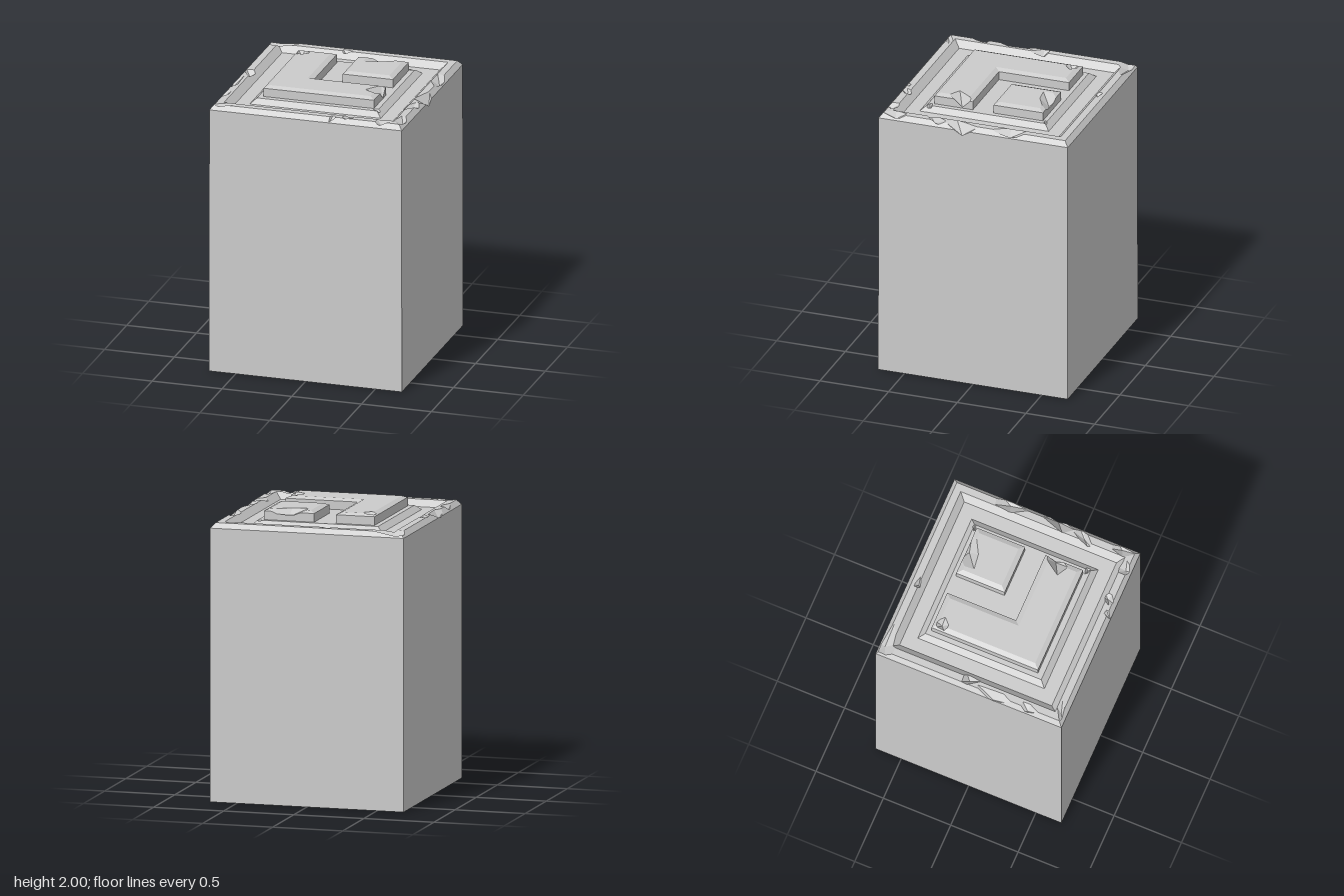
import * as THREE from 'three';

const V = (x, y, z) => new THREE.Vector3(x, y, z);
const WALL = 0.0005; // tiny draft on upright walls, so every face looks slightly upwards

// Chips: pit x, z, depth height, half length, half width, heading in plan
const BACK_CHIPS = [[-0.62, -0.65, 1.9, 0.17, 0.09, 0], [-0.12, -0.61, 1.905, 0.05, 0.03, 0]];
const LEFT_CHIPS = [
  [0.66, -0.26, 1.89, 0.13, 0.07, 1.6], [0.69, 0.08, 1.865, 0.12, 0.1, 1.6],
  [0.63, 0.3, 1.9, 0.15, 0.05, -0.9], [0.66, 0.57, 1.9, 0.11, 0.05, 1.6],
];
const FRONT_CHIPS = [
  [0.53, 0.65, 1.905, 0.08, 0.06, 0], [0.29, 0.62, 1.905, 0.07, 0.035, -0.8],
  [0.17, 0.68, 1.9, 0.06, 0.025, -0.9], [-0.6, 0.65, 1.915, 0.1, 0.035, -0.4],
];
const RIGHT_CHIPS = [
  [-0.67, 0.43, 1.9, 0.08, 0.05, 1.6], [-0.62, -0.02, 1.89, 0.08, 0.05, 1.6],
  [-0.68, 0.18, 1.885, 0.14, 0.06, 1.6],
];
const PLATEAU_CHIPS = [[0.43, 0.41, 1.895, 0.045, 0.04, 0], [0.41, -0.425, 1.9, 0.04, 0.02, -0.5]];
const RELIEF_CHIPS = [
  [-0.35, -0.34, 1.965, 0.05, 0.045, 0], [0.22, -0.38, 1.95, 0.19, 0.07, -0.1],
  [0.39, 0.19, 1.93, 0.11, 0.06, -0.9],
];

// Inset a right-angled outline of [x, z] points and lift it to height y
function insetLoop(loop, d, y) {
  const n = loop.length;
  const inward = (a, b) => {
    const l = Math.hypot(b[0] - a[0], b[1] - a[1]);
    return [-(b[1] - a[1]) / l, (b[0] - a[0]) / l];
  };
  return loop.map((p, i) => {
    const u = inward(loop[(i + n - 1) % n], p), v = inward(p, loop[(i + 1) % n]);
    return V(p[0] + d * (u[0] + v[0]), y, p[1] + d * (u[1] + v[1]));
  });
}

// Mitred faces following a profile of [inset, height]; caps lists the corners of the top faces
function mouldedFaces(loop, profile, caps) {
  const rings = profile.map(([d, y]) => insetLoop(loop, d, y));
  const faces = [];
  for (let r = 0; r + 1 < rings.length; r++) {
    loop.forEach((_, i) => {
      const j = (i + 1) % loop.length;
      faces.push([rings[r][i], rings[r][j], rings[r + 1][j], rings[r + 1][i]]);
    });
  }
  caps.forEach((c) => faces.push(c.map((i) => rings[rings.length - 1][i])));
  return faces;
}

const area = (poly) => poly.reduce((s, p, i) => {
  const q = poly[(i + 1) % poly.length];
  return s + (p.x * q.z - q.x * p.z) / 2;
}, 0);

// Part of a convex polygon where the linear function f is positive
function clip(poly, f) {
  const out = [];
  poly.forEach((p, i) => {
    const q = poly[(i + 1) % poly.length], a = f(p), b = f(q);
    if (a >= 0) out.push(p);
    if ((a > 0 && b < 0) || (a < 0 && b > 0)) out.push(p.clone().lerp(q, a / (a - b)));
  });
  return out.length > 2 && Math.abs(area(out)) > 1e-10 ? out : null;
}

// Height functions of the facets of an uneven five-sided pit that opens out at rim height
function pitFacets([x, z, depth, long, wide, heading], rim, seed) {
  const sides = 5;
  const outline = Array.from({ length: sides }, (_, i) => {
    const t = ((i + 0.3 * Math.sin(seed * 5 + i * 3)) / sides) * Math.PI * 2;
    const k = 1.12 + 0.15 * Math.sin(seed * 7 + i * 4);
    const u = k * long * Math.cos(t), v = k * wide * Math.sin(t);
    const c = Math.cos(heading), s = Math.sin(heading);
    return V(x + u * c - v * s, rim, z + u * s + v * c);
  });
  return outline.map((a, i) => {
    const { normal, constant } = new THREE.Plane()
      .setFromCoplanarPoints(a, outline[(i + 1) % sides], V(x, depth, z));
    return (p) => -(normal.x * p.x + normal.z * p.z + constant) / normal.y;
  });
}

// Cut every chip into the faces, leaving exact flat facets
function chipped(faces, chips, rim) {
  return chips.reduce((solid, chip, seed) => {
    const facets = pitFacets(chip, rim, seed);
    const result = [];
    for (const face of solid) {
      let rest = face;
      for (const c of facets) {
        const keep = clip(rest, (p) => c(p) - p.y);
        if (keep) result.push(keep);
        rest = clip(rest, (p) => p.y - c(p));
        if (!rest) break;
      }
      if (!rest) continue;
      facets.forEach((c) => {
        let piece = rest;
        for (const d of facets) {
          if (piece && d !== c) piece = clip(piece, (p) => c(p) - d(p));
        }
        if (piece) result.push(piece.map((p) => V(p.x, c(p), p.z)));
      });
    }
    return result;
  }, faces);
}

// Fan the polygons into triangles, all facing upwards, plus an optional underside
function stoneMesh(name, faces, underside) {
  const oriented = faces.map((f) => (area(f) > 0 ? [...f].reverse() : f));
  if (underside) oriented.push(underside);
  const points = [];
  for (const f of oriented) {
    for (let i = 1; i + 1 < f.length; i++) points.push(f[0], f[i], f[i + 1]);
  }
  const geometry = new THREE.BufferGeometry().setFromPoints(points);
  geometry.computeVertexNormals();
  const mesh = new THREE.Mesh(geometry, new THREE.MeshStandardMaterial({ color: 0xcccccc, flatShading: true }));
  mesh.name = name;
  return mesh;
}

const rect = (x0, z0, x1, z1) => [[x0, z0], [x1, z0], [x1, z1], [x0, z1]];

export function createModel() {
  const group = new THREE.Group();
  group.name = 'carvedStoneBlock';

  // Block with bevelled rim, sunken groove and raised plateau
  const base = rect(-0.69, -0.69, 0.69, 0.69);
  const blockProfile = [[0, 0], [WALL, 1.9], [0.03, 1.935], [0.08, 1.935], [0.125, 1.89], [0.22, 1.89], [0.26, 1.925]];
  const block = mouldedFaces(base, blockProfile, [[0, 1, 2, 3]]);
  const blockChips = [BACK_CHIPS, LEFT_CHIPS, FRONT_CHIPS, RIGHT_CHIPS, PLATEAU_CHIPS].flat();
  group.add(stoneMesh('block', chipped(block, blockChips, 1.94), insetLoop(base, 0, 0)));

  // Raised corner band and square tile on the plateau
  const reliefProfile = [[0, 1.9], [WALL, 1.985], [0.035, 2]];
  const band = [[-0.395, -0.4], [-0.12, -0.4], [-0.12, 0.11], [0.395, 0.11], [0.395, 0.39], [-0.395, 0.39]];
  const bandFaces = mouldedFaces(band, reliefProfile, [[0, 1, 2, 5], [2, 3, 4, 5]]);
  group.add(stoneMesh('cornerBand', chipped(bandFaces, RELIEF_CHIPS, 2)));

  const tileFaces = mouldedFaces(rect(0.035, -0.4, 0.395, -0.04), reliefProfile, [[0, 1, 2, 3]]);
  group.add(stoneMesh('squareTile', chipped(tileFaces, RELIEF_CHIPS, 2)));

  return group;
}
